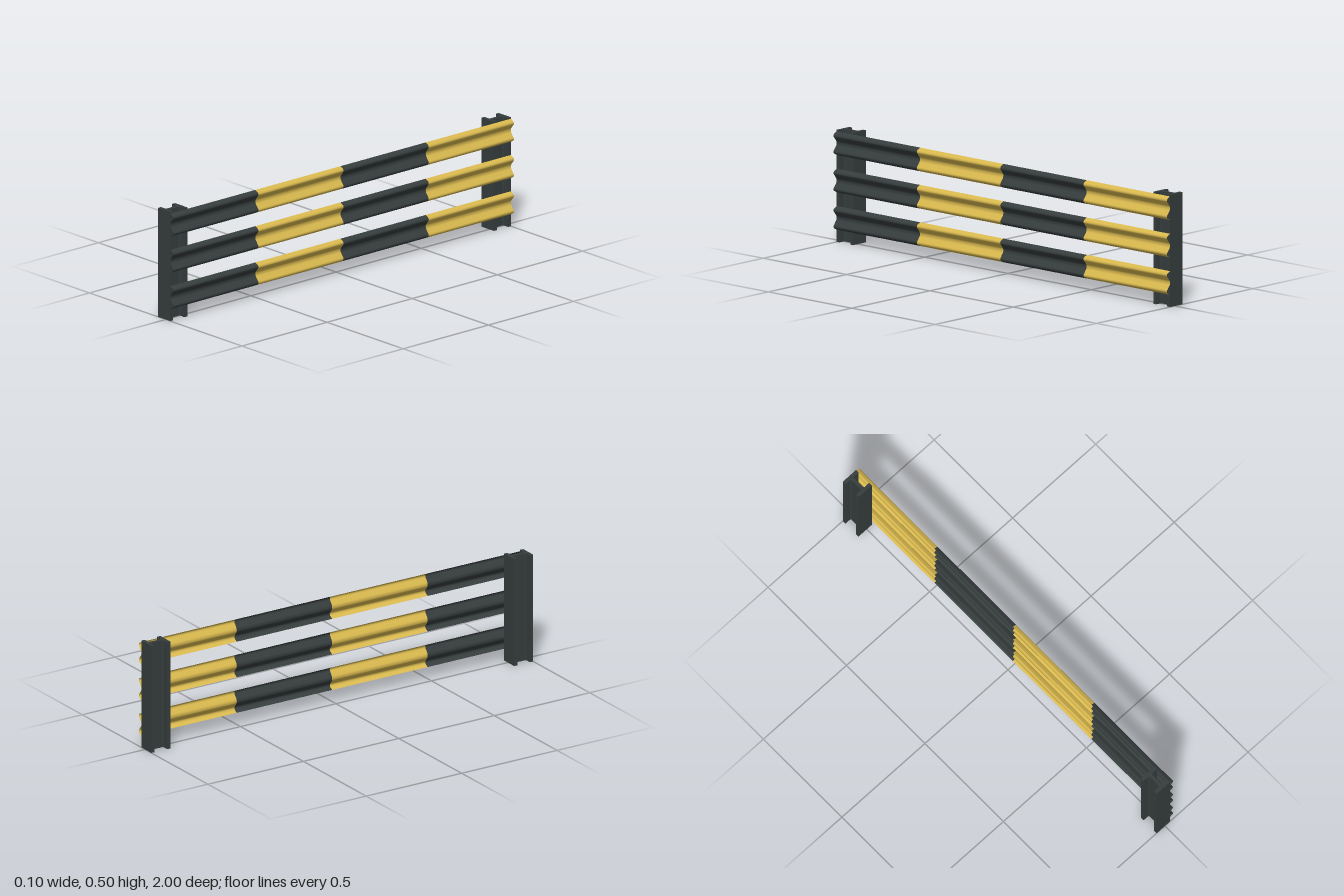
import * as THREE from 'three';

const charcoal = new THREE.MeshStandardMaterial({ color: 0x363d3d, side: THREE.DoubleSide });
charcoal.name = 'charcoal';
const yellow = new THREE.MeshStandardMaterial({ color: 0xd8b84e, side: THREE.DoubleSide });
yellow.name = 'yellow';

// Upper half of the double-wave rail section, from valley to edge: [x, y]
const half = [
  [0.03, 0], [0.0305, 0.006], [0.033, 0.011], [0.045, 0.027], [0.0485, 0.031],
  [0.05, 0.036], [0.0485, 0.041], [0.045, 0.045], [0.033, 0.051], [0.03, 0.053],
];
const section = [...half.slice().reverse(), ...half.slice(1).map(([x, y]) => [x, -y])];

// One open sheet of rail, running along z and facing +x
function railGeometry(length) {
  const geo = new THREE.PlaneGeometry(length, 1, 1, section.length - 1);
  geo.rotateY(Math.PI / 2);
  const pos = geo.attributes.position;
  for (let i = 0; i < pos.count; i++) {
    const [x, y] = section[Math.floor(i / 2)];
    pos.setX(i, x);
    pos.setY(i, y);
  }
  geo.computeVertexNormals();
  return geo;
}

// H-section post with small fillets where the web meets the flanges
function postGeometry() {
  const w = 0.04, d = 0.05, web = 0.008, inner = 0.033, f = 0.006;
  const quarter = [[w, d], [w, inner], [web + f, inner], [web + f * 0.3, inner - f * 0.3], [web, inner - f]];
  const mirror = (sx, sy) => quarter.map(([x, y]) => [x * sx, y * sy]);
  const outline = [
    ...mirror(1, 1), ...mirror(1, -1).reverse(),
    ...mirror(-1, -1), ...mirror(-1, 1).reverse(),
  ];
  const shape = new THREE.Shape(outline.map(([x, y]) => new THREE.Vector2(x, y)));
  const geo = new THREE.ExtrudeGeometry(shape, { depth: 0.502, bevelEnabled: false });
  geo.rotateX(-Math.PI / 2);
  return geo;
}

export function createModel() {
  const group = new THREE.Group();
  group.name = 'guardRailBarrier';

  // End posts
  const postGeo = postGeometry();
  for (const side of [1, -1]) {
    const post = new THREE.Mesh(postGeo, charcoal);
    post.name = side > 0 ? 'frontPost' : 'backPost';
    post.position.set(-0.01, 0, side * 0.95);
    group.add(post);
  }

  // Three rails, each in four alternating colour bands
  const bandGeo = railGeometry(0.5);
  ['lowerRail', 'middleRail', 'upperRail'].forEach((name, r) => {
    const rail = new THREE.Group();
    rail.name = name;
    rail.position.y = 0.108 + r * 0.167;
    for (let b = 0; b < 4; b++) {
      const band = new THREE.Mesh(bandGeo, b % 2 ? yellow : charcoal);
      band.name = b % 2 ? 'yellowBand' : 'charcoalBand';
      band.position.z = 0.75 - b * 0.5;
      rail.add(band);
    }
    group.add(rail);
  });

  return group;
}
